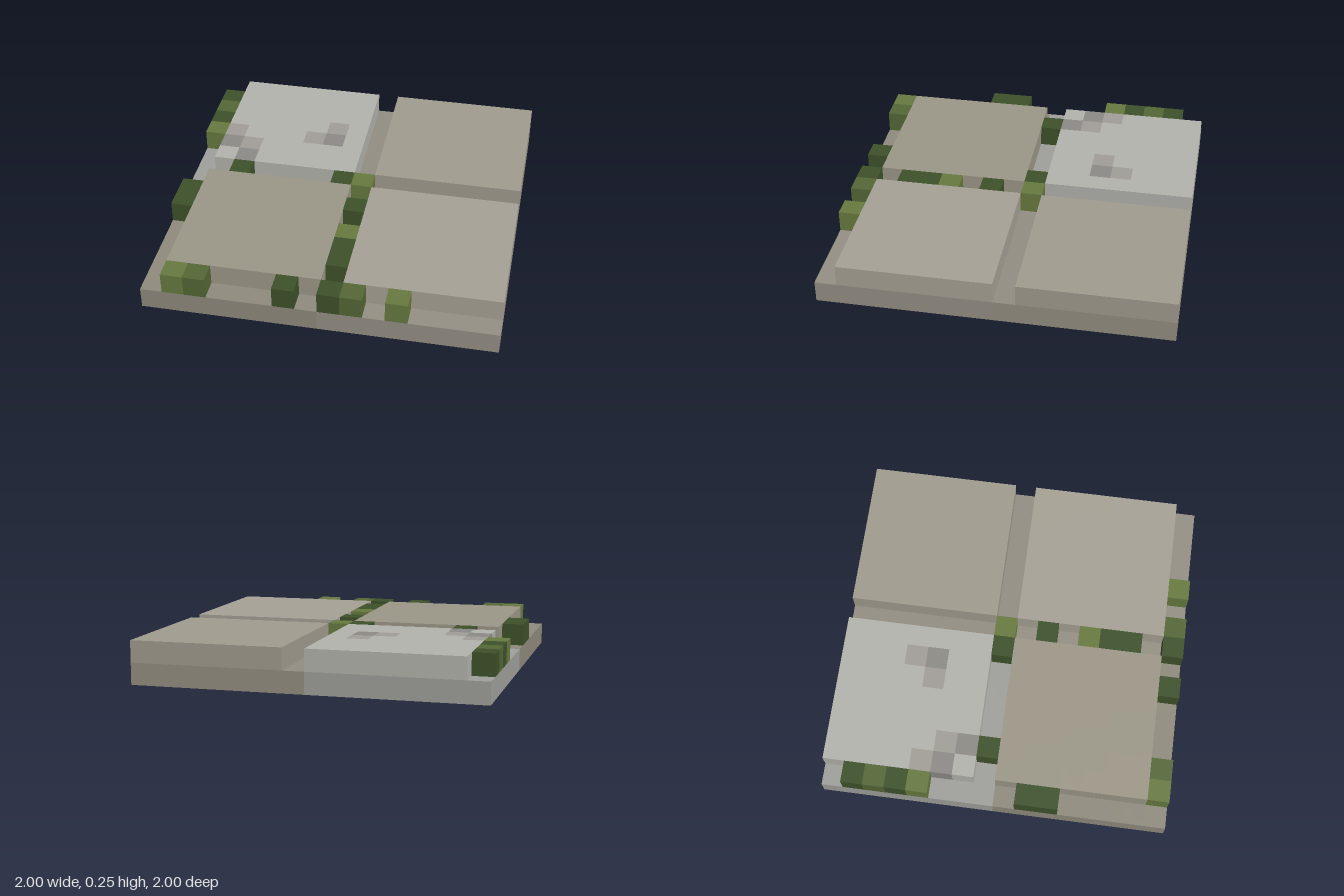
import * as THREE from 'three';

const N = 16, S = 2 / N; // grid of square cells

// Colours of every part
const COLORS = {
  paleSlab: 0xb0b1aa, backSlab: 0x9e998c, leftSlab: 0x9a9585, frontSlab: 0xa49f93,
  paleBase: 0x9d9d99, backBase: 0x918c80, leftBase: 0x8d887b, frontBase: 0x938e82,
  lightStain: 0x9f9c96, darkStain: 0x8b8984,
  darkMoss: 0x3c5029, midMoss: 0x536635, lightMoss: 0x66783e,
};

// Cells as [column, row], counted from the back left corner
const SPECIAL = {
  darkMoss: [[0, 1], [0, 3], [0, 9], [0, 10], [2, 7], [7, 7], [8, 9], [8, 12], [8, 13], [6, 15], [8, 15]],
  midMoss: [[0, 2], [2, 15], [9, 15]],
  lightMoss: [[0, 4], [8, 7], [8, 11], [1, 15], [11, 15]],
  lightStain: [[1, 4], [2, 5], [5, 4], [6, 3]],
  darkStain: [[1, 5], [2, 6], [6, 4]],
};
const special = new Map();
for (const [part, cells] of Object.entries(SPECIAL)) cells.forEach(([i, j]) => special.set(i + j * N, part));

const inside = (i, j) => i >= 0 && j >= 0 && i < N && j < N;
const quarter = (i, j) => (j < 8 ? (i < 8 ? 'pale' : 'back') : (i < 8 ? 'left' : 'front'));
const isSlab = (i, j) => i !== 0 && i !== 8 && j !== 7 && j !== 15;
const height = (i, j) => (!inside(i, j) ? 0 : isSlab(i, j) || special.has(i + j * N) ? 2 : 1);

// Part that owns a cell at layer 1 (base) or 2 (slab or moss)
function partAt(i, j, layer) {
  if (layer === 1) return quarter(i, j) + 'Base';
  return special.get(i + j * N) ?? quarter(i, j) + 'Slab';
}

export function createModel() {
  const group = new THREE.Group();
  const parts = {};
  const addQuad = (part, a, b, c, d) => {
    (parts[part] ??= []).push(...a, ...b, ...c, ...a, ...c, ...d);
  };

  for (let j = 0; j < N; j++) for (let i = 0; i < N; i++) {
    const h = height(i, j), x0 = -1 + i * S, x1 = x0 + S, z0 = -1 + j * S, z1 = z0 + S, y = h * S;
    // Top face
    addQuad(partAt(i, j, h), [x0, y, z1], [x1, y, z1], [x1, y, z0], [x0, y, z0]);
    // Walls down to lower neighbours; the underside stays open
    const sides = [
      [1, 0, x1, z1, x1, z0], [-1, 0, x0, z0, x0, z1],
      [0, 1, x0, z1, x1, z1], [0, -1, x1, z0, x0, z0],
    ];
    for (const [di, dj, ax, az, bx, bz] of sides) {
      for (let layer = height(i + di, j + dj) + 1; layer <= h; layer++) {
        const lo = (layer - 1) * S, hi = layer * S;
        addQuad(partAt(i, j, layer), [ax, lo, az], [bx, lo, bz], [bx, hi, bz], [ax, hi, az]);
      }
    }
  }

  // One mesh per part
  for (const [name, points] of Object.entries(parts)) {
    const geometry = new THREE.BufferGeometry();
    geometry.setAttribute('position', new THREE.Float32BufferAttribute(points, 3));
    geometry.computeVertexNormals();
    const material = new THREE.MeshStandardMaterial({ color: COLORS[name], side: THREE.DoubleSide });
    const mesh = new THREE.Mesh(geometry, material);
    mesh.name = name;
    group.add(mesh);
  }
  group.name = 'mossyPaving';
  return group;
}
